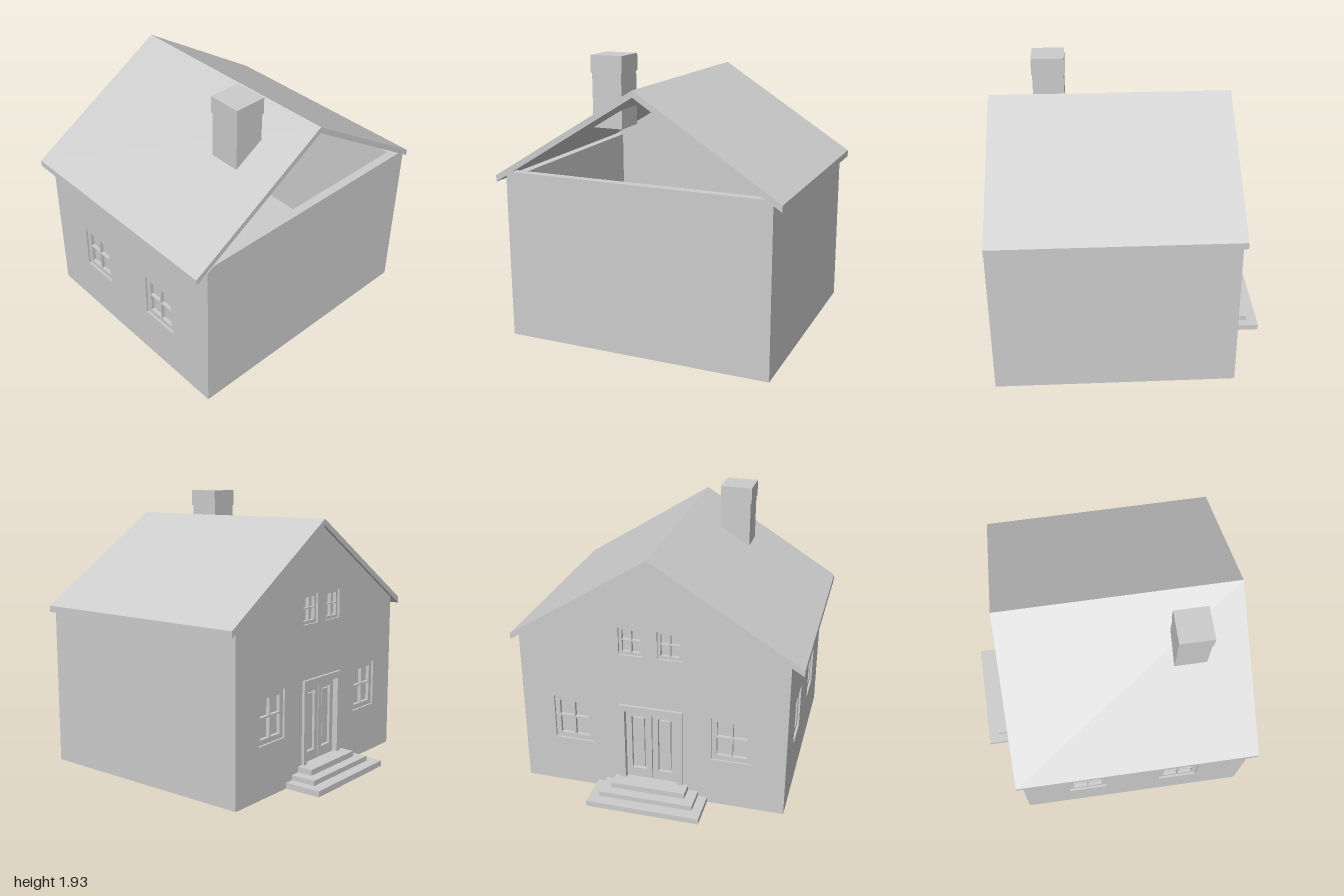
import * as THREE from 'three';

const mat = new THREE.MeshStandardMaterial({ color: 0xcccccc, flatShading: true });

function add(parent, name, geo) {
  const m = new THREE.Mesh(geo, mat);
  m.name = name;
  parent.add(m);
  return m;
}

// Box given by its limits on each axis
function box(parent, name, x0, x1, y0, y1, z0, z1) {
  const m = add(parent, name, new THREE.BoxGeometry(x1 - x0, y1 - y0, z1 - z0));
  m.position.set((x0 + x1) / 2, (y0 + y1) / 2, (z0 + z1) / 2);
  return m;
}

const rect = (x0, x1, y0, y1) =>
  [[x0, y0], [x1, y0], [x1, y1], [x0, y1]].map(p => new THREE.Vector2(...p));

// Flat outline with rectangular holes, extruded from z0 to z1
function slab(parent, name, points, holes, z0, z1) {
  const shape = new THREE.Shape(points.map(p => (p.isVector2 ? p : new THREE.Vector2(...p))));
  holes.forEach(h => shape.holes.push(new THREE.Path(rect(...h).reverse())));
  const geo = new THREE.ExtrudeGeometry(shape, { depth: z1 - z0, bevelEnabled: false });
  return add(parent, name, geo.translate(0, 0, z0));
}

// Recessed four-pane window filling the opening [x0, x1, y0, y1] of a wall with outer face at z
function addWindow(parent, [x0, x1, y0, y1], z) {
  const g = new THREE.Group();
  g.name = 'window';
  parent.add(g);
  const w = x1 - x0, h = y1 - y0;
  const f = w * 0.125, bar = w * 0.02;
  const cx = (x0 + x1) / 2, cy = y0 + h * 0.53;
  const panes = [];
  for (const [a, b] of [[x0 + f, cx - bar], [cx + bar, x1 - f]])
    for (const [c, d] of [[y0 + f, cy - bar], [cy + bar, y1 - f]]) panes.push([a, b, c, d]);
  slab(g, 'windowFrame', rect(x0, x1, y0, y1), panes, z - 0.04, z - 0.015);
  box(g, 'windowPane', x0, x1, y0, y1, z - 0.055, z - 0.04);
}

export function createModel() {
  const house = new THREE.Group();
  house.name = 'house';
  const T = 0.06; // wall thickness
  const L = -0.69, R = 0.95, F = 0.915, B = -0.945, C = -0.018;

  // Floor, back wall and front wall
  box(house, 'floor', L + T, R - T, 0, 0.11, B + T, F - T);
  box(house, 'backWall', L + T, R - T, 0, 1.13, B, B + T);
  const frontOpenings = [[-0.36, -0.08, 0.355, 0.68], [0.32, 0.6, 0.355, 0.68]];
  slab(house, 'frontWall', rect(L + T, R - T, 0, 1.135), frontOpenings, F - T, F);
  frontOpenings.forEach(o => addWindow(house, o, F));

  // Parts drawn in side profile: local x runs along world z, local z along world -x
  const side = new THREE.Group();
  side.name = 'sideParts';
  side.rotation.y = -Math.PI / 2;
  house.add(side);

  // Entrance gable wall with door and four windows
  const big = 0.28, small = 0.17;
  const sideOpenings = [];
  for (const s of [-1, 1]) {
    const c1 = C + s * 0.56, c2 = C + s * 0.133;
    sideOpenings.push([c1 - big / 2, c1 + big / 2, 0.355, 0.685]);
    sideOpenings.push([c2 - small / 2, c2 + small / 2, 1.07, 1.27]);
  }
  const door = [C - 0.185, C + 0.185, 0.11, 0.65];
  slab(side, 'entranceGableWall',
    [[B, 0], [F, 0], [F, 1.137], [-0.027, 1.716], [B, 1.13]],
    [...sideOpenings, door], -L - T, -L);
  sideOpenings.forEach(o => addWindow(side, o, -L));

  // Double door with surround and sunk panels
  slab(side, 'doorFrame', rect(C - 0.222, C + 0.222, 0.11, 0.695), [door], -L - 0.02, -L + 0.02);
  for (const s of [-1, 1]) {
    const a = C + s * 0.003, b = C + s * 0.185;
    const x0 = Math.min(a, b), x1 = Math.max(a, b);
    slab(side, 'doorLeaf', rect(x0, x1, 0.11, 0.65),
      [[x0 + 0.04, x1 - 0.04, 0.18, 0.6]], -L - 0.045, -L - 0.02);
    box(side, 'doorPanel', x0 + 0.055, x1 - 0.055, 0.195, 0.585, -L - 0.045, -L - 0.028);
  }
  box(side, 'doorBacking', C - 0.185, C + 0.185, 0.11, 0.65, -L - 0.06, -L - 0.045);

  // Low wall under the open gable
  slab(side, 'openGableWall',
    [[B, 0], [F, 0], [F, 1.137], [0.87, 1.165], [-0.89, 1.165], [B, 1.13]], [], -R, -R + T);

  // Gabled roof with plumb-cut eaves
  slab(side, 'roof',
    [[1, 1.085], [1, 1.13], [-0.027, 1.76], [-1, 1.14], [-1, 1.095], [-0.027, 1.716]],
    [], -0.945, 0.71);

  // Chimney with a slightly wider cap
  box(house, 'chimneyShaft', 0.435, 0.655, 1.45, 1.82, 0.195, 0.408);
  box(house, 'chimneyCap', 0.43, 0.66, 1.815, 1.93, 0.188, 0.415);

  // Entrance steps
  [[-0.95, 0.398, 0, 0.04], [-0.87, 0.333, 0.04, 0.075], [-0.8, 0.262, 0.075, 0.115]]
    .forEach(([x, half, y0, y1]) => box(house, 'step', x, L, y0, y1, C - half, C + half));

  return house;
}
